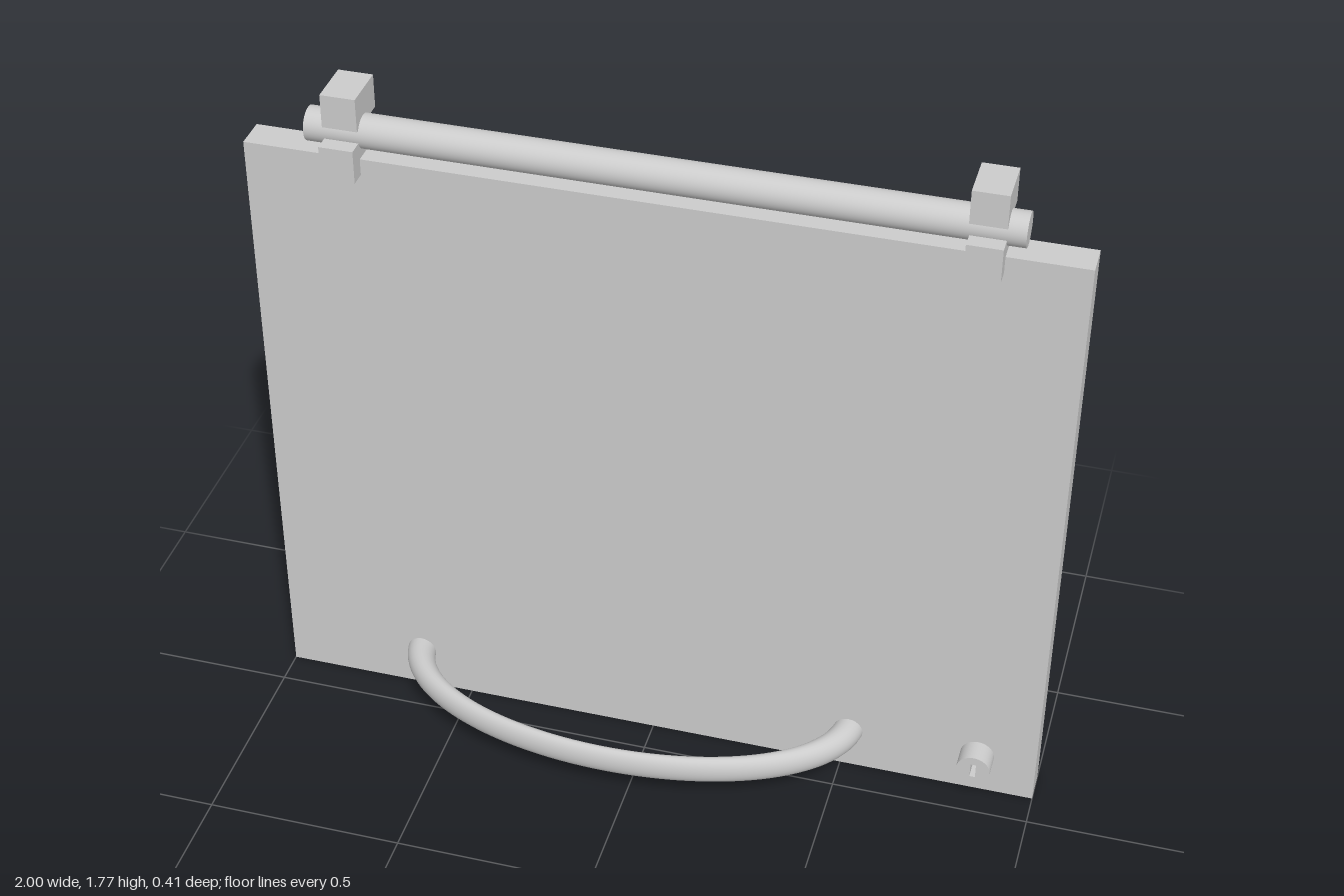
import * as THREE from 'three';

export function createModel() {
  const model = new THREE.Group();
  const material = new THREE.MeshStandardMaterial({ color: 0xcccccc });

  const add = (name, geometry, x, y, z) => {
    const mesh = new THREE.Mesh(geometry, material);
    mesh.name = name;
    mesh.position.set(x, y, z);
    model.add(mesh);
    return mesh;
  };
  // Box given by its lower and upper corners
  const addBox = (name, [x0, y0, z0], [x1, y1, z1]) =>
    add(name, new THREE.BoxGeometry(x1 - x0, y1 - y0, z1 - z0),
      (x0 + x1) / 2, (y0 + y1) / 2, (z0 + z1) / 2);

  // Flat door panel
  addBox('panel', [-1, 0, -0.17], [1, 1.61, -0.086]);

  // Hinge rod along the top edge
  const rod = new THREE.CylinderGeometry(0.042, 0.042, 1.69, 40).rotateZ(Math.PI / 2);
  add('hingeRod', rod, 0, 1.665, -0.125);

  // Hinge blocks: one above the rod, one clamping the panel front
  for (const [side, x] of [['right', -0.753], ['left', 0.759]]) {
    addBox(side + 'UpperHingeBlock', [x - 0.043, 1.685, -0.203], [x + 0.043, 1.77, -0.081]);
    addBox(side + 'LowerHingeBlock', [x - 0.041, 1.568, -0.13], [x + 0.043, 1.653, -0.045]);
  }

  // Bowed handle: half ring flattened in depth, ends sunk into the panel
  const bow = new THREE.TorusGeometry(0.577, 0.038, 24, 64, Math.PI)
    .rotateX(Math.PI / 2)
    .scale(1, 1, 0.51);
  add('handle', bow, -0.059, 0.115, -0.111);

  // Lock barrel with a keyhole slot
  const face = new THREE.Shape().absarc(0, 0, 0.043, 0, Math.PI * 2);
  const slot = new THREE.Path([[-0.007, -0.02], [-0.007, 0.02], [0.007, 0.02], [0.007, -0.02]]
    .map(([x, y]) => new THREE.Vector2(x, y)));
  slot.closePath();
  face.holes.push(slot);
  const barrel = new THREE.ExtrudeGeometry(face, { depth: 0.065, bevelEnabled: false, curveSegments: 40 });
  add('lockBarrel', barrel, 0.85, 0.115, -0.09);

  return model;
}
